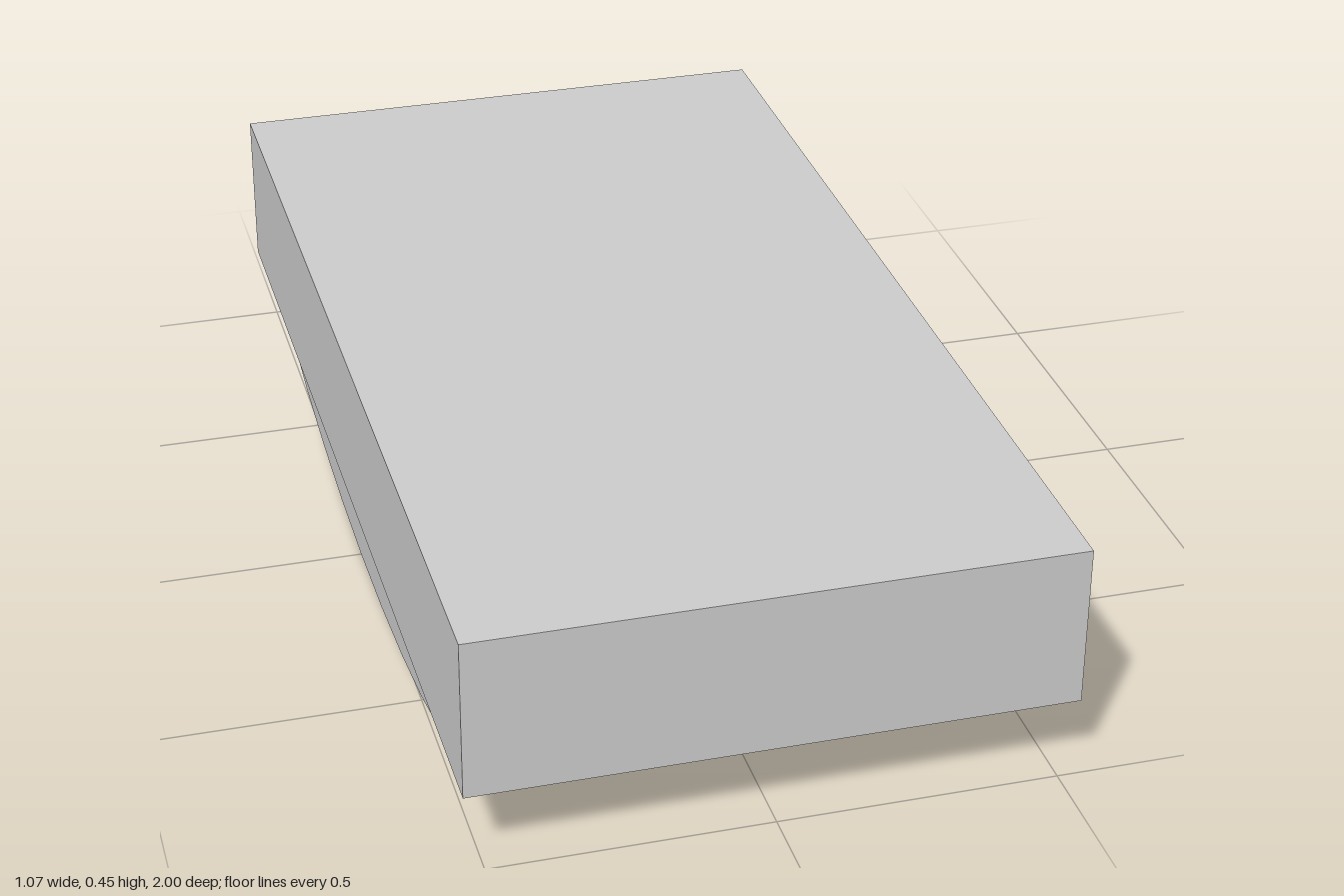
import * as THREE from 'three';

export function createModel() {
  const group = new THREE.Group();
  const material = new THREE.MeshStandardMaterial({ color: 0xcccccc, flatShading: true });

  // Thick rectangular slab
  const slabBottom = 0.15, slabTop = 0.448;
  const slab = new THREE.Mesh(new THREE.BoxGeometry(1.066, slabTop - slabBottom, 2), material);
  slab.name = 'slab';
  slab.position.y = (slabBottom + slabTop) / 2;
  group.add(slab);

  // Curved runner: lower arc of a 32-sided ellipse, its flat top sunk into the slab
  const halfLength = 1, halfHeight = 0.286, width = 0.226, innerX = 0.285;
  const arc = [];
  for (let i = -6; i <= 6; i++) {
    const angle = (i * Math.PI) / 16;
    arc.push(new THREE.Vector2(halfLength * Math.sin(angle), halfHeight * (1 - Math.cos(angle))));
  }
  const runnerGeometry = new THREE.ExtrudeGeometry(new THREE.Shape(arc), { depth: width, bevelEnabled: false });
  runnerGeometry.translate(0, 0, -width / 2);
  runnerGeometry.rotateY(Math.PI / 2);

  // One runner along each long side
  for (const [name, side] of [['leftRunner', 1], ['rightRunner', -1]]) {
    const runner = new THREE.Mesh(runnerGeometry, material);
    runner.name = name;
    runner.position.x = side * (innerX + width / 2);
    group.add(runner);
  }

  return group;
}
